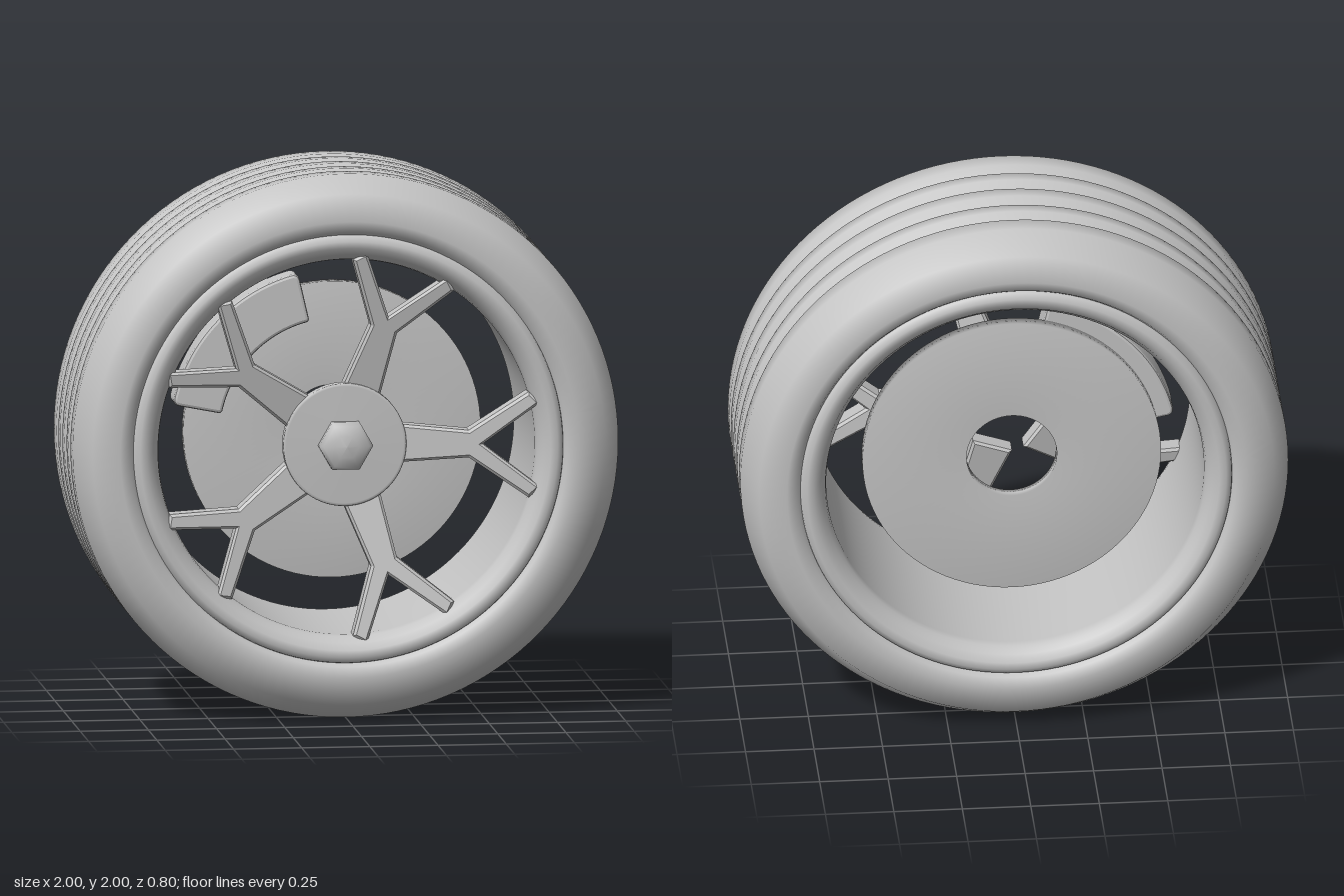
import * as THREE from 'three';

const grey = new THREE.MeshStandardMaterial({ color: 0xc4c4c4 });
grey.name = 'light grey';

// Surface of revolution about the z axle; profile pairs are [radius, z]
function turned(name, profile, segments = 96) {
  const geo = new THREE.LatheGeometry(profile.map(([r, z]) => new THREE.Vector2(r, z)), segments);
  geo.rotateX(Math.PI / 2);
  const mesh = new THREE.Mesh(geo, grey);
  mesh.name = name;
  return mesh;
}

// Adds the mirror image (z to -z) of a front half profile, running back to front
const mirrored = (half) => [...half.map(([r, z]) => [r, -z]), ...half.slice().reverse()];

// Extruded slab with a small bevel, front face at z = 0
function slab(shape, depth, bevel, segments = 1) {
  const geo = new THREE.ExtrudeGeometry(shape, {
    depth: depth - 2 * bevel, bevelThickness: bevel, bevelSize: bevel,
    bevelOffset: -bevel, bevelSegments: segments, curveSegments: 24,
  });
  return geo.translate(0, 0, bevel - depth);
}

// Y-shaped spoke lying along +x, sloping forward towards the rim
function spokeGeometry() {
  const upper = [[0.14, 0.075], [0.45, 0.05], [0.665, 0.195], [0.705, 0.155]];
  const outline = [
    ...upper.map(([x, y]) => [x, -y]),
    [0.5, 0],
    ...upper.slice().reverse(),
  ];
  const shape = new THREE.Shape(outline.map(([x, y]) => new THREE.Vector2(x, y)));
  const geo = slab(shape, 0.085, 0.01);
  const p = geo.attributes.position;
  for (let i = 0; i < p.count; i++) p.setZ(i, p.getZ(i) + 0.21 + 0.21 * p.getX(i));
  geo.computeVertexNormals();
  return geo;
}

// Arc-shaped caliper block with rounded corners
function caliperGeometry() {
  const a0 = THREE.MathUtils.degToRad(103), a1 = THREE.MathUtils.degToRad(169);
  const inner = 0.425, outer = 0.61, c = 0.03;
  const at = (r, a) => [r * Math.cos(a), r * Math.sin(a)];
  const s = new THREE.Shape();
  s.moveTo(...at(outer, a0 + c / outer));
  s.absarc(0, 0, outer, a0 + c / outer, a1 - c / outer, false);
  s.quadraticCurveTo(...at(outer, a1), ...at(outer - c, a1));
  s.lineTo(...at(inner + c / 2, a1));
  s.quadraticCurveTo(...at(inner, a1), ...at(inner, a1 - c / inner / 2));
  s.absarc(0, 0, inner, a1 - c / inner / 2, a0 + c / inner / 2, true);
  s.quadraticCurveTo(...at(inner, a0), ...at(inner + c / 2, a0));
  s.lineTo(...at(outer - c, a0));
  s.quadraticCurveTo(...at(outer, a0), ...at(outer, a0 + c / outer));
  return slab(s, 0.12, 0.012, 2);
}

export function createModel() {
  const model = new THREE.Group();
  model.name = 'wheel';
  const wheel = new THREE.Group();
  wheel.name = 'wheelAssembly';
  wheel.position.y = 1;
  model.add(wheel);

  // Tyre with four tread grooves
  wheel.add(turned('tyre', mirrored([
    [0.78, 0.35], [0.8, 0.385], [0.84, 0.4], [0.94, 0.385], [1, 0.28],
    [1, 0.21], [0.97, 0.2], [0.97, 0.155], [1, 0.145],
    [1, 0.097], [0.97, 0.087], [0.97, 0.037], [1, 0.027],
  ]), 128));

  // Rim lips and inner barrel, facing the axle
  const lip = [[0.79, 0.355], [0.785, 0.375], [0.765, 0.388], [0.74, 0.385],
    [0.715, 0.365], [0.705, 0.345], [0.695, 0.335], [0.69, 0.31]];
  wheel.add(turned('rim', mirrored(lip).reverse().map(([r, z]) => [r, z])
    .sort((a, b) => b[1] - a[1] || b[0] - a[0])
    .length ? [...lip, ...lip.slice().reverse().map(([r, z]) => [r, -z])] : lip, 128));

  // Brake disc with a centre hole
  wheel.add(turned('brakeDisc', [
    [0.165, -0.143], [0.165, -0.165], [0.545, -0.165],
    [0.545, -0.12], [0.165, -0.12], [0.165, -0.143],
  ]));

  // Brake caliper in front of the disc
  const caliper = new THREE.Mesh(caliperGeometry(), grey);
  caliper.name = 'brakeCaliper';
  wheel.add(caliper);

  // Five forked spokes
  const spoke = spokeGeometry();
  for (let i = 0; i < 5; i++) {
    const mesh = new THREE.Mesh(spoke, grey);
    mesh.name = 'spoke' + (i + 1);
    mesh.rotation.z = (i * Math.PI * 2) / 5;
    wheel.add(mesh);
  }

  // Hub cover, open at the back
  wheel.add(turned('hubCover', [
    [0.226, 0.225], [0.226, 0.26], [0.224, 0.264], [0.215, 0.266], [0, 0.272],
  ], 64));

  // Domed hexagonal centre nut
  const nut = turned('centreNut', [
    [0.1, 0.26], [0.1, 0.295], [0.085, 0.31], [0.045, 0.325], [0, 0.33],
  ], 6);
  nut.rotation.z = Math.PI / 2;
  wheel.add(nut);

  return model;
}
